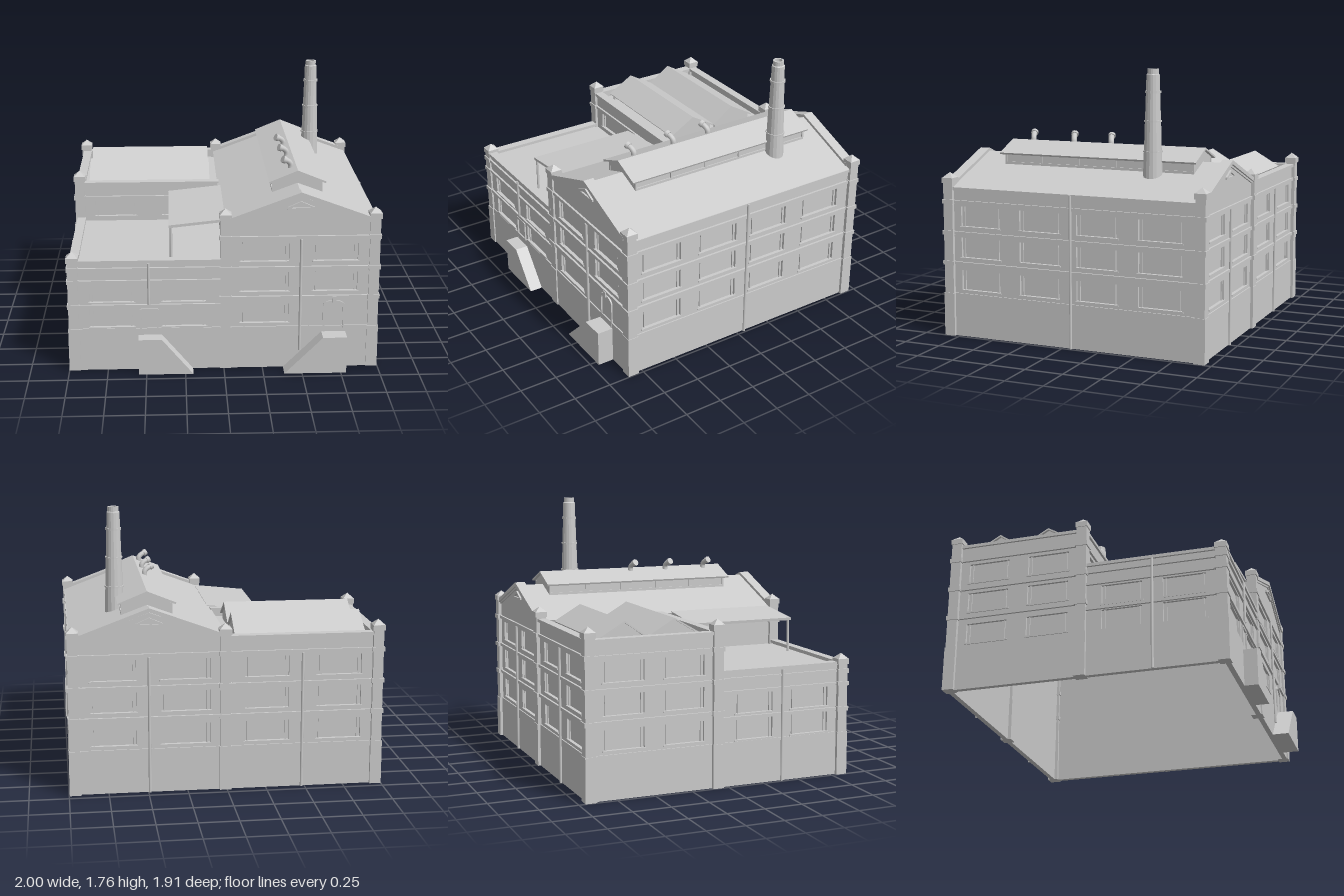
import * as THREE from 'three';

const mat = new THREE.MeshStandardMaterial({ color: 0xcccccc, side: THREE.DoubleSide });
const flat = new THREE.MeshStandardMaterial({ color: 0xcccccc, side: THREE.DoubleSide, flatShading: true });

function add(parent, name, geo, x = 0, y = 0, z = 0, m = mat) {
  const mesh = new THREE.Mesh(geo, m);
  mesh.name = name;
  mesh.position.set(x, y, z);
  parent.add(mesh);
  return mesh;
}

// box given by its extents
function block(parent, name, x0, x1, y0, y1, z0, z1) {
  return add(parent, name, new THREE.BoxGeometry(x1 - x0, y1 - y0, z1 - z0),
    (x0 + x1) / 2, (y0 + y1) / 2, (z0 + z1) / 2);
}

// sloping sheet whose top edge runs (x0,y0)-(x1,y1), stretched along z
function slab(parent, name, x0, y0, x1, y1, z0, z1, t) {
  const geo = new THREE.BoxGeometry(Math.hypot(x1 - x0, y1 - y0), t, z1 - z0).translate(0, -t / 2, 0);
  const mesh = add(parent, name, geo, (x0 + x1) / 2, (y0 + y1) / 2, (z0 + z1) / 2);
  mesh.rotation.z = Math.atan2(y1 - y0, x1 - x0);
  return mesh;
}

function prism(parent, name, pts, z0, z1, holes = []) {
  const shape = new THREE.Shape(pts.map(p => new THREE.Vector2(...p)));
  for (const h of holes) shape.holes.push(new THREE.Path(h.map(p => new THREE.Vector2(...p))));
  const geo = new THREE.ExtrudeGeometry(shape, { depth: z1 - z0, bevelEnabled: false });
  return add(parent, name, geo, 0, 0, z0);
}

// wall with recessed windows, bands, plinth and downpipe; u runs along it, +z is outward
function wall(parent, name, o) {
  const g = new THREE.Group();
  g.name = name;
  const [a, b] = o.span, y0 = o.base ?? 0;
  const wins = [];
  for (const [u0, u1] of o.cols) for (const [v0, v1] of o.rows)
    if (!o.skip || !o.skip(u0, v0)) wins.push([u0, u1, v0, v1]);
  const outline = [[a, y0], [b, y0], [b, o.top], ...(o.peak ? [o.peak] : []), [a, o.top]];
  prism(g, 'wallFace', outline, -0.025, 0,
    wins.map(([p, q, r, s]) => [[p, r], [p, s], [q, s], [q, r]]));
  for (const [p, q, r, s] of wins) {
    block(g, 'windowPane', p, q, r, s, -0.025, -0.017);
    for (const e of [p + 0.018, q - 0.018]) block(g, 'windowPost', e - 0.004, e + 0.004, r, s, -0.018, -0.008);
    block(g, 'windowSill', p - 0.008, q + 0.008, r - 0.01, r, -0.01, 0.006);
  }
  for (const [v, h] of o.bands) block(g, 'band', a, b, v, v + h, -0.005, 0.014);
  if (!y0) block(g, 'plinth', a, b, 0, 0.285, -0.02, 0.008);
  if (o.coping) block(g, 'coping', a, b, o.top - 0.02, o.top, -0.045, 0.014);
  for (const [u, v0, v1] of o.pipes ?? [])
    add(g, 'downpipe', new THREE.CylinderGeometry(0.009, 0.009, v1 - v0, 8), u, (v0 + v1) / 2, 0.014);
  g.rotation.y = o.turn ?? 0;
  g.position.set(o.x ?? 0, 0, o.z ?? 0);
  parent.add(g);
  return g;
}

function pillar(parent, x, z, top, bands) {
  const g = new THREE.Group();
  g.name = 'pillar';
  const box = (n, r, y0, y1) => block(g, n, -r, r, y0, y1, -r, r);
  box('pillarShaft', 0.033, 0, top);
  box('pillarBase', 0.037, 0, 0.285);
  for (const [v, h] of bands) box('pillarCollar', 0.04, v - 0.004, v + h + 0.004);
  box('pillarCap', 0.039, top, top + 0.035);
  const tip = new THREE.ConeGeometry(0.053, 0.035, 4).rotateY(Math.PI / 4);
  add(g, 'pillarTip', tip, 0, top + 0.052, 0, flat);
  g.position.set(x, 0, z);
  parent.add(g);
}

// entrance ramp block with a landing and one sloping side
function ramp(parent, name, pts, z1) {
  prism(parent, name, pts, 0.82, z1);
}

function doorway(parent, name, x, w, y0, y1, arch) {
  const outline = (r, top) => {
    const p = [[x - r, y0], [x + r, y0]];
    for (let i = 0; i <= 8; i++) {
      const t = Math.PI * i / 8;
      p.push([x + r * Math.cos(t), top - arch + arch * Math.sin(t)]);
    }
    return p;
  };
  prism(parent, name + 'Frame', outline(w / 2, y1), 0.83, 0.85, [outline(w / 2 - 0.012, y1 - 0.014)]);
  prism(parent, name + 'Leaf', outline(w / 2 - 0.01, y1 - 0.01), 0.82, 0.839);
}

export function createModel() {
  const model = new THREE.Group();
  model.name = 'factory';
  const H = Math.PI / 2;
  const tall = [[0.475, 0.02], [0.675, 0.02], [0.88, 0.02]];
  const low = [[0.43, 0.02], [0.6, 0.016], [0.68, 0.02]];
  const rows3 = [[0.31, 0.44], [0.525, 0.655], [0.73, 0.86]];
  const rows2 = [[0.295, 0.425], [0.465, 0.59]];
  const flip = cols => cols.map(([p, q]) => [-q, -p]);
  const hallCols = [[0.105, 0.415], [0.57, 0.855]];
  const wingCols = [[-0.86, -0.575], [-0.395, -0.115]];
  const sideCols = [[0.45, 0.735], [0.025, 0.31], [-0.37, -0.09], [-0.8, -0.51]];

  // main hall walls
  wall(model, 'hallFrontWall', { span: [0, 0.97], top: 1, peak: [0.485, 1.17], cols: hallCols, rows: rows3,
    skip: (u, v) => u > 0.5 && v < 0.4, bands: tall, pipes: [[0.49, 0.12, 0.88]], z: 0.84 });
  wall(model, 'hallRightWall', { span: [-0.84, 0.93], top: 0.985, cols: flip(sideCols), rows: rows3,
    bands: tall, pipes: [[0.055, 0, 0.98]], coping: true, turn: H, x: 0.97 });
  wall(model, 'hallBackWall', { span: [-0.97, 0], top: 1, peak: [-0.485, 1.17], cols: flip(hallCols), rows: rows3,
    bands: tall, pipes: [[-0.49, 0, 0.88]], turn: Math.PI, z: -0.93 });
  wall(model, 'hallUpperLeftWall', { span: [-0.93, 0.84], base: 0.71, top: 0.975, cols: [], rows: [],
    bands: [], turn: -H, x: 0 });

  // rear wing walls
  wall(model, 'rearWingBackWall', { span: [0, 0.97], top: 1, cols: flip(wingCols), rows: rows3, bands: tall,
    pipes: [[0.48, 0, 0.88]], coping: true, turn: Math.PI, z: -0.93 });
  wall(model, 'rearWingLeftWall', { span: [-0.93, -0.05], top: 1, cols: [[-0.83, -0.56], [-0.43, -0.16]],
    rows: rows3, bands: tall, coping: true, turn: -H, x: -0.97 });
  wall(model, 'rearWingInnerWall', { span: [-0.97, 0], base: 0.71, top: 1, cols: wingCols, rows: [[0.755, 0.86]],
    bands: [[0.88, 0.02]], coping: true, z: -0.055 });

  // front wing walls
  wall(model, 'frontWingFrontWall', { span: [-0.97, 0], top: 0.75, cols: wingCols, rows: rows2, bands: low,
    pipes: [[-0.48, 0.45, 0.73]], coping: true, z: 0.84 });
  wall(model, 'frontWingLeftWall', { span: [-0.05, 0.84], top: 0.75, cols: [[0.06, 0.32], [0.45, 0.72]],
    rows: rows2, bands: low, pipes: [[0.385, 0, 0.73]], coping: true, turn: -H, x: -0.97 });

  // pillars
  for (const x of [0.01, 0.96]) for (const z of [0.82, -0.92]) pillar(model, x, z, 1.01, tall);
  pillar(model, -0.963, -0.92, 1.01, tall);
  pillar(model, -0.963, -0.07, 1.01, tall);
  pillar(model, -0.963, 0.82, 0.735, low);

  // flat roofs and the pitched hall roof
  block(model, 'frontWingRoof', -0.96, 0, 0.71, 0.72, -0.06, 0.83);
  block(model, 'rearWingRoof', -0.96, 0, 0.93, 0.94, -0.92, -0.06);
  slab(model, 'hallRoofLeft', -0.01, 0.985, 0.485, 1.17, -0.92, 0.83, 0.012);
  slab(model, 'hallRoofRight', 0.485, 1.17, 0.98, 0.985, -0.92, 0.83, 0.012);

  // gable copings, mouldings and attic windows at both ends
  for (const [z, s] of [[0.84, 1], [-0.93, -1]]) {
    const span = (d0, d1) => [Math.min(z + s * d0, z + s * d1), Math.max(z + s * d0, z + s * d1)];
    for (const k of [-1, 1]) {
      slab(model, 'gableCoping', 0.485 + k * 0.47, 1.015, 0.485, 1.19, ...span(-0.05, 0.02), k > 0 ? -0.025 : 0.025)
        .scale.y = 1;
      slab(model, 'gableMoulding', 0.485 + k * 0.45, 0.995, 0.485, 1.16, ...span(-0.01, 0.01), k > 0 ? -0.012 : 0.012);
    }
    prism(model, 'atticWindowFrame', [[0.4, 1.075], [0.57, 1.075], [0.57, 1.09], [0.485, 1.128], [0.4, 1.09]],
      ...span(-0.01, 0.012), [[[0.425, 1.085], [0.545, 1.085], [0.485, 1.112]]]);
  }

  // canopy over the front wing roof
  slab(model, 'canopy', -0.35, 0.957, 0.01, 0.995, 0.03, 0.78, 0.018);
  add(model, 'canopyPost', new THREE.CylinderGeometry(0.009, 0.009, 0.23, 8), -0.335, 0.835, 0.765);

  // roof lantern along the ridge
  const lantern = new THREE.Group();
  lantern.name = 'roofLantern';
  model.add(lantern);
  prism(lantern, 'lanternBody', [[0.33, 1.08], [0.64, 1.08], [0.64, 1.19], [0.485, 1.245], [0.33, 1.19]], -0.75, 0.58);
  slab(lantern, 'lanternRoofLeft', 0.3, 1.185, 0.485, 1.26, -0.77, 0.61, 0.012);
  slab(lantern, 'lanternRoofRight', 0.485, 1.26, 0.67, 1.185, -0.77, 0.61, 0.012);
  for (const x of [0.33, 0.64]) {
    for (let i = 0; i <= 5; i++) {
      const z = -0.745 + i * 0.264;
      block(lantern, 'lanternMullion', x - 0.008, x + 0.008, 1.1, 1.18, z - 0.006, z + 0.006);
    }
    block(lantern, 'lanternSill', x - 0.008, x + 0.008, 1.1, 1.125, -0.75, 0.58);
  }

  // bent roof vents
  for (const z of [0.47, 0.17, -0.1]) {
    const path = new THREE.CatmullRomCurve3([[0.45, 1.23, z], [0.45, 1.265, z], [0.435, 1.285, z + 0.006],
      [0.4, 1.303, z + 0.018]].map(p => new THREE.Vector3(...p)));
    add(model, 'roofVent', new THREE.TubeGeometry(path, 10, 0.018, 10));
    const head = add(model, 'ventHead', new THREE.CylinderGeometry(0.024, 0.024, 0.022, 10), 0.405, 1.3, z + 0.016);
    head.quaternion.setFromUnitVectors(new THREE.Vector3(0, 1, 0), new THREE.Vector3(-0.85, 0.43, 0.3).normalize());
  }

  // chimney with collars
  const stack = [[0.063, 1.04], [0.057, 1.24], [0.062, 1.24], [0.062, 1.25], [0.056, 1.25], [0.051, 1.43], [0.056, 1.43],
    [0.056, 1.44], [0.05, 1.44], [0.045, 1.61], [0.051, 1.61], [0.051, 1.625], [0.044, 1.625], [0.042, 1.725],
    [0.036, 1.73], [0.036, 1.76], [0.024, 1.76], [0.024, 1.7], [0, 1.7]];
  add(model, 'chimney', new THREE.LatheGeometry(stack.map(p => new THREE.Vector2(...p)), 16), 0.675, 0, -0.485, flat);

  // pair of tent skylights on the rear wing
  const skylights = new THREE.Group();
  skylights.name = 'skylights';
  skylights.rotation.y = H;
  model.add(skylights);
  for (const [u0, um, u1] of [[0.15, 0.33, 0.51], [0.51, 0.66, 0.84]]) {
    slab(skylights, 'skylightPane', u0, 0.985, um, 1.09, -0.9, -0.06, 0.01);
    slab(skylights, 'skylightPane', um, 1.09, u1, 0.985, -0.9, -0.06, 0.01);
    for (const x of [-0.885, -0.09]) {
      prism(skylights, 'skylightEnd', [[u0 + 0.02, 0.935], [u1 - 0.02, 0.935], [u1 - 0.02, 0.985], [um, 1.08], [u0 + 0.02, 0.985]], x, x + 0.015);
    }
  }

  // entrances
  doorway(model, 'hallDoor', 0.708, 0.14, 0.24, 0.46, 0.035);
  block(model, 'doorKeystone', 0.695, 0.721, 0.45, 0.49, 0.83, 0.86);
  doorway(model, 'wingDoor', -0.48, 0.12, 0.24, 0.42, 0.005);
  ramp(model, 'hallRamp', [[0.385, 0], [0.785, 0], [0.785, 0.245], [0.63, 0.245]], 0.955);
  ramp(model, 'wingRamp', [[-0.55, 0], [-0.2, 0], [-0.4, 0.24], [-0.55, 0.24]], 0.935);
  return model;
}
